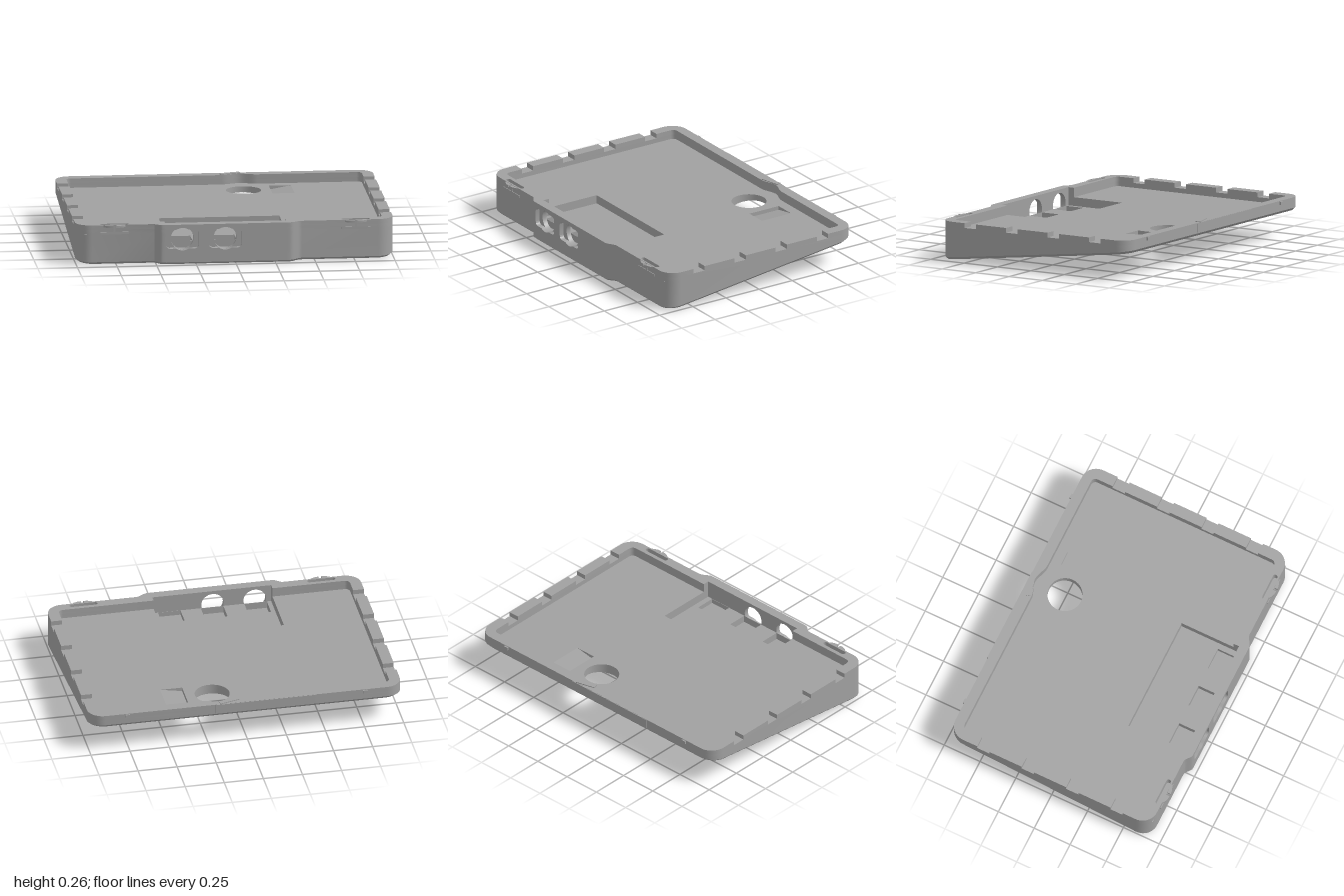
import * as THREE from 'three';
import { toCreasedNormals } from 'three/addons/utils/BufferGeometryUtils.js';

const TOP = 0.26, NOTCH = 0.23, FLOOR = 0.2, POCKET = 0.145, SLOT = 0.1;
const slope = z => 0.004 + (0.72 - z) * 0.121; // height of the tilted underside

// All plan paths are lists of [x, z]
function arc(cx, cz, r, a0, a1, n = 10) {
  return Array.from({ length: n + 1 }, (_, i) => {
    const a = a0 + (a1 - a0) * i / n;
    return [cx + r * Math.cos(a), cz + r * Math.sin(a)];
  });
}
function rect(x0, x1, z0, z1) {
  return [[x0, z0], [x1, z0], [x1, z1], [x0, z1]];
}
function sCurve(x0, z0, x1, z1, n = 8) {
  return Array.from({ length: n + 1 }, (_, i) => {
    const t = i / n;
    return [x0 + (x1 - x0) * t, z0 + (z1 - z0) * t * t * (3 - 2 * t)];
  });
}
const toPath = (pts, Type = THREE.Shape) => new Type(pts.map(([x, z]) => new THREE.Vector2(x, -z)));
function planShape(pts, holes = []) {
  const s = toPath(pts);
  s.holes = holes.map(h => toPath(h, THREE.Path));
  return s;
}
// Horizontal sheet whose height may vary
function sheet(pts, holes, height) {
  const g = new THREE.ShapeGeometry(planShape(pts, holes)).rotateX(-Math.PI / 2);
  const p = g.attributes.position;
  for (let i = 0; i < p.count; i++) p.setY(i, height(p.getX(i), p.getZ(i)));
  g.computeVertexNormals();
  return g;
}
// Upright slab between two heights
function slab(pts, y0, y1, holes = []) {
  const g = new THREE.ExtrudeGeometry(planShape(pts, holes), { depth: y1 - y0, bevelEnabled: false });
  return toCreasedNormals(g.rotateX(-Math.PI / 2).translate(0, y0, 0), 0.6);
}
// Ribbon joining a lower path to an upper path
function band(low, high, yLow, yHigh, closed) {
  const v = [], idx = [], n = low.length;
  low.forEach((a, i) => {
    const b = high[i];
    v.push(a[0], yLow(...a), a[1], b[0], yHigh(...b), b[1]);
    if (i < n - 1 || closed) {
      const j = (i + 1) % n;
      idx.push(2 * i, 2 * j, 2 * j + 1, 2 * i, 2 * j + 1, 2 * i + 1);
    }
  });
  const g = new THREE.BufferGeometry();
  g.setAttribute('position', new THREE.Float32BufferAttribute(v, 3));
  g.setIndex(idx);
  return toCreasedNormals(g.toNonIndexed(), 0.6);
}

export function createModel() {
  const model = new THREE.Group();
  const grey = new THREE.MeshStandardMaterial({ color: 0xa0a0a0, side: THREE.DoubleSide });
  grey.name = 'matte grey';
  const add = (name, g) => {
    const m = new THREE.Mesh(g, grey);
    m.name = name;
    model.add(m);
    return m;
  };
  const box = (name, w, h, d, x, y, z) => add(name, new THREE.BoxGeometry(w, h, d).translate(x, y, z));
  const level = y => () => y;
  const PI = Math.PI;

  // Plan outline, starting and ending at the front panel
  const right = [[0.32, 0.72], ...sCurve(0.34, 0.72, 0.42, 0.685), ...arc(0.9, 0.585, 0.1, PI / 2, 0)];
  const back = [...arc(0.9, -0.62, 0.1, 0, -PI / 2), ...arc(-0.9, -0.62, 0.1, -PI / 2, -PI)];
  const left = [...arc(-0.9, 0.585, 0.1, PI, PI / 2), ...sCurve(-0.52, 0.685, -0.46, 0.72), [-0.44, 0.72]];
  const outline = [...right, ...back, ...left];
  const inset = outline.map(([x, z]) => [x * 0.986, z * 0.98]);
  const round = arc(0.17, -0.48, 0.11, 0, 2 * PI, 48).slice(0, -1);

  // Tilted underside, chamfer and outer wall
  const chamferTop = (x, z) => slope(z) + 0.015;
  add('underside', sheet(inset, [round], (x, z) => slope(z)));
  add('bottomChamfer', band(inset, outline, (x, z) => slope(z), chamferTop, true));
  add('outerWall', band(outline, outline, chamferTop, level(FLOOR), false));
  add('roundHoleWall', band(round, round, (x, z) => slope(z), level(FLOOR), true));

  // Rim with a shallow cable dip in its back edge and strap slots at the front
  const dip = sCurve(0.05, -0.655, 0.165, -0.685, 6).concat(sCurve(0.165, -0.685, 0.275, -0.655, 6).slice(1));
  const innerBack = [...arc(-0.9, -0.625, 0.03, PI, 1.5 * PI, 5), ...dip, ...arc(0.9, -0.625, 0.03, -PI / 2, 0, 5)];
  const innerRight = [...arc(0.9, 0.59, 0.03, 0, PI / 2, 5), [0.32, 0.62]];
  const innerLeft = [[-0.44, 0.62], ...arc(-0.9, 0.59, 0.03, PI / 2, PI, 5)];
  const strapSlot = s => [
    ...arc(s * 0.76 + 0.075, 0.66, 0.015, -PI / 2, PI / 2, 6),
    ...arc(s * 0.76 - 0.075, 0.66, 0.015, PI / 2, 1.5 * PI, 6)];
  add('lowerRim', slab([...outline, ...innerLeft, ...innerBack, ...innerRight], FLOOR, NOTCH, [strapSlot(1), strapSlot(-1)]));

  // Upper rim, broken by four notches on each side
  const cuts = [[0.495, 0.41], [0.185, 0.1], [-0.125, -0.21], [-0.435, -0.52]];
  const zf = cuts[0][0], zb = cuts[3][1];
  add('upperRimFrontLeft', slab([...right, [1, zf], [0.93, zf], ...innerRight], NOTCH, TOP, [strapSlot(1)]));
  add('upperRimFrontRight', slab([[-1, zf], ...left, ...innerLeft, [-0.93, zf]], NOTCH, TOP, [strapSlot(-1)]));
  add('upperRimBack', slab([[1, zb], ...back, [-1, zb], [-0.93, zb], ...innerBack, [0.93, zb]], NOTCH, TOP));
  for (const s of [1, -1]) {
    for (let i = 0; i < 3; i++) {
      const z0 = cuts[i][1], z1 = cuts[i + 1][0];
      box('sideRimBlock', 0.07, TOP - NOTCH, z0 - z1, s * 0.965, (TOP + NOTCH) / 2, (z0 + z1) / 2);
    }
  }

  // Tray floor, open over the front pocket
  const recess = rect(0.34, 0.48, -0.59, -0.37);
  add('trayFloor', sheet([[-0.95, -0.69], [0.95, -0.69], [0.95, 0.68], [0.32, 0.68], [0.32, 0.26],
    [-0.44, 0.26], [-0.44, 0.68], [-0.95, 0.68]], [round, recess], level(FLOOR)));
  const ramp = x => FLOOR - 0.025 * (0.48 - x) / 0.14;
  add('rampRecessFloor', sheet(recess, [], ramp));
  add('rampRecessWalls', band(recess, recess, ramp, level(FLOOR), true));

  // Front pocket with three slots
  const pocket = [[0.32, 0.66], [0.32, 0.26], [-0.44, 0.26], [-0.44, 0.66]];
  const slots = [-0.34, -0.062, 0.212].map(x => rect(x - 0.072, x + 0.072, 0.53, 0.658));
  add('pocketFloor', sheet(pocket, slots, level(POCKET)));
  add('pocketWalls', band(pocket, pocket, level(POCKET), level(FLOOR), false));
  slots.forEach((s, i) => {
    const y = i < 2 ? SLOT : 0.115;
    add('slotFloor', sheet(s, [], level(y)));
    add('slotWalls', band(s, s, level(y), level(POCKET), true));
  });

  // Front panel: round ports behind rounded rectangular recesses
  const panel = (name, z0, z1, makeHole) => {
    const s = new THREE.Shape();
    s.moveTo(-0.44, 0.018).lineTo(0.32, 0.018).lineTo(0.32, TOP).lineTo(-0.44, TOP);
    s.holes = [-0.335, -0.065].map(makeHole);
    const g = new THREE.ExtrudeGeometry(s, { depth: z1 - z0, bevelEnabled: false, curveSegments: 16 });
    add(name, toCreasedNormals(g.translate(0, 0, z0), 0.6));
  };
  const cy = 0.167, R = 0.072, a = Math.asin(0.06 / R);
  panel('frontPanelInner', 0.66, 0.69, x => new THREE.Path().absarc(x, cy, R, 0, 2 * PI, false));
  panel('frontPanelOuter', 0.69, 0.72, x => {
    const w = 0.104, h = 0.06, r = 0.025, p = new THREE.Path();
    p.absarc(x + w - r, cy + h - r, r, 0, PI / 2, false);
    p.absarc(x, cy, R, a, PI - a, false);
    p.absarc(x - w + r, cy + h - r, r, PI / 2, PI, false);
    p.absarc(x - w + r, cy - h + r, r, PI, 1.5 * PI, false);
    p.absarc(x, cy, R, PI + a, 2 * PI - a, false);
    p.absarc(x + w - r, cy - h + r, r, 1.5 * PI, 2 * PI, false);
    p.closePath();
    return p;
  });

  // Strap clips at the front corners and small nubs at the back
  for (const s of [1, -1]) {
    const x = s * 0.76;
    box('strapBar', 0.18, 0.015, 0.006, x, 0.208, 0.686);
    box('strapStem', 0.012, 0.045, 0.006, x, 0.235, 0.686);
    for (const k of [1, -1]) {
      const tab = [[x + k * 0.008, 0.68], [x + k * 0.075, 0.68], [x + k * 0.055, 0.697],
        [x + k * 0.03, 0.706], [x + k * 0.008, 0.708]];
      add('strapTab', slab(tab, 0.246, 0.258));
    }
    box('backNub', 0.03, 0.02, 0.012, x, 0.246, -0.724);
  }

  // Back edge latch and thin plate
  box('backPlate', 0.64, 0.06, 0.006, -0.12, 0.229, -0.721);
  const latch = box('backLatch', 0.13, 0.025, 0.03, 0, 0, 0);
  latch.position.set(0.105, 0.253, -0.69);
  latch.rotation.y = 0.26;

  return model;
}
